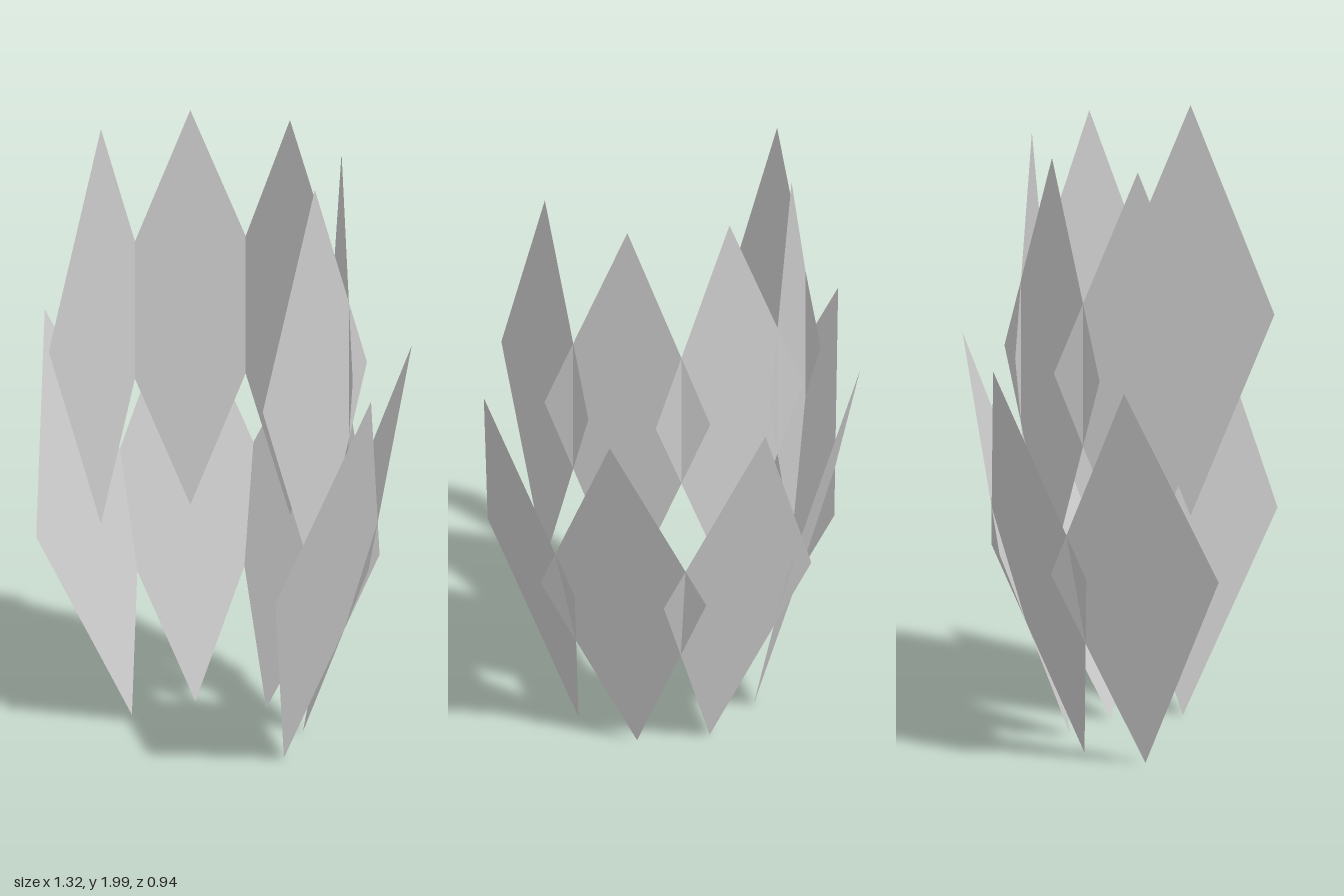
import * as THREE from 'three';

const HALF_WIDTH = 0.275;
const HALF_HEIGHT = 0.682;

// Flat diamond plate, centred on its own origin
function diamondGeometry() {
  const shape = new THREE.Shape([
    new THREE.Vector2(0, -HALF_HEIGHT),
    new THREE.Vector2(HALF_WIDTH, 0),
    new THREE.Vector2(0, HALF_HEIGHT),
    new THREE.Vector2(-HALF_WIDTH, 0),
  ]);
  return new THREE.ShapeGeometry(shape);
}

export function createModel() {
  const model = new THREE.Group();
  model.name = 'plateSkirt';
  const material = new THREE.MeshStandardMaterial({
    color: 0xcccccc, side: THREE.DoubleSide, flatShading: true,
  });
  const geometry = diamondGeometry();

  // Half ring of five plates, open to the front
  function addRow(name, radius, height, tilt) {
    const row = new THREE.Group();
    row.name = name + 'Row';
    row.position.z = 0.193;
    for (let i = -2; i <= 2; i++) {
      const pivot = new THREE.Group();
      pivot.name = name + 'Pivot';
      pivot.rotation.y = i * Math.PI / 4;
      const plate = new THREE.Mesh(geometry, material);
      plate.name = name + 'Plate';
      plate.position.set(0, height, -radius);
      plate.rotation.x = -tilt;
      pivot.add(plate);
      row.add(pivot);
    }
    model.add(row);
  }

  // Upright upper plates, and lower plates leaning outward at the top
  addRow('upper', 0.433, 1.318, 0);
  addRow('lower', 0.484, 0.665, Math.PI / 12);
  return model;
}
